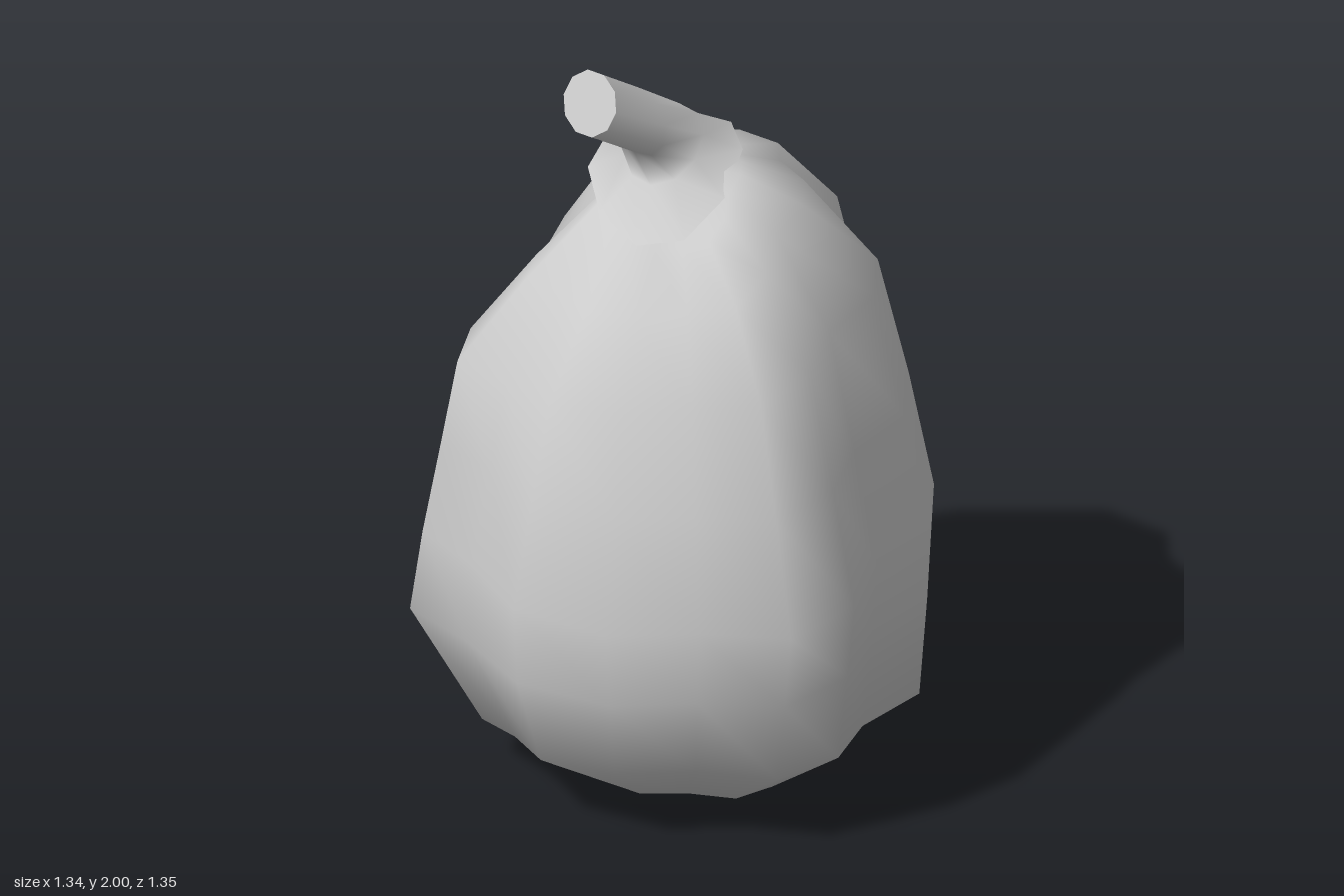
import * as THREE from 'three';
import { mergeVertices } from 'three/addons/utils/BufferGeometryUtils.js';

// Skin a stack of closed rings (bottom to top, each an array of [x, y, z])
function loft(rings) {
  const n = rings[0].length, index = [];
  for (let r = 0; r < rings.length - 1; r++) {
    for (let c = 0; c < n; c++) {
      const d = (c + 1) % n;
      const a = r * n + c, b = r * n + d, ua = a + n, ub = b + n;
      index.push(a, ua, ub, a, ub, b);
    }
  }
  let g = new THREE.BufferGeometry();
  g.setAttribute('position', new THREE.Float32BufferAttribute(rings.flat(2), 3));
  g.setIndex(index);
  g = mergeVertices(g);
  g.computeVertexNormals();
  return g;
}

// Ribbed outline seen from above: six lobes, each two ridges and a valley
const OUTLINE = [
  [0.10, -0.67], [0.27, -0.685], [0.475, -0.565],
  [0.51, -0.38], [0.67, -0.165], [0.675, 0.10],
  [0.54, 0.30], [0.49, 0.52], [0.33, 0.68],
  [0.09, 0.65], [-0.15, 0.675], [-0.40, 0.55],
  [-0.53, 0.32], [-0.68, 0.14], [-0.645, -0.09],
  [-0.47, -0.29], [-0.355, -0.52], [-0.165, -0.665],
];

// Lopsided side profiles [radius, height], bottom to top
const LEFT = [[0.38, 0.03], [0.64, 0.22], [0.66, 0.5], [0.67, 0.7], [0.6, 1.02], [0.52, 1.36], [0.33, 1.61], [0.17, 1.68]];
const RIGHT = [[0.2, 0.02], [0.49, 0.12], [0.68, 0.46], [0.645, 0.68], [0.6, 0.93], [0.56, 1.16], [0.38, 1.39], [0.2, 1.59]];
const FRONT = [[0.35, 0.04], [0.59, 0.22], [0.64, 0.44], [0.68, 0.66], [0.59, 0.95], [0.5, 1.22], [0.36, 1.42], [0.2, 1.54]];
const BACK = [[0.3, 0.04], [0.52, 0.21], [0.6, 0.42], [0.67, 0.63], [0.68, 1.13], [0.6, 1.37], [0.38, 1.6], [0.2, 1.66]];

function bodyGeometry() {
  const pole = (x, y, z) => OUTLINE.map(() => [x, y, z]);
  const rings = LEFT.map((_, k) => OUTLINE.map(([x, z]) => {
    // Blend the side profile with the front or back one by direction
    const w = (x * x) / (x * x + z * z);
    const side = (x > 0 ? LEFT : RIGHT)[k], face = (z > 0 ? FRONT : BACK)[k];
    const s = (side[0] * w + face[0] * (1 - w)) / 0.68;
    return [x * s, side[1] * w + face[1] * (1 - w), z * s];
  }));
  return loft([pole(0.08, 0, 0), ...rings, pole(0, 1.66, -0.06)]);
}

// Elliptical ring from a centre and two half axes; droop lowers front and back
function ring(c, u, v, droop = 0, sides = 10) {
  return Array.from({ length: sides }, (_, i) => {
    const t = (i / sides) * Math.PI * 2, cs = Math.cos(t), sn = Math.sin(t);
    return c.map((p, k) => p + u[k] * cs + v[k] * sn - (k === 1 ? droop * sn * sn : 0));
  });
}

export function createModel() {
  const group = new THREE.Group();
  const material = new THREE.MeshStandardMaterial({ color: 0xcccccc, side: THREE.DoubleSide });
  const add = (name, geometry) => {
    const mesh = new THREE.Mesh(geometry, material);
    mesh.name = name;
    group.add(mesh);
  };

  add('pumpkinBody', bodyGeometry());

  // Bent stem flaring into a collar draped over the crown
  const tipCentre = [-0.215, 1.92, 0.12];
  const tip = ring(tipCentre, [0.07, 0, 0.05], [-0.015, -0.08, 0.03]);
  add('stem', loft([
    ring([-0.03, 1.66, -0.09], [0.2, 0.03, 0], [0, -0.035, 0.3], 0.075),
    ring([-0.03, 1.71, -0.07], [0.1, 0.03, 0], [0, -0.05, 0.13]),
    ring([-0.1, 1.82, 0.01], [0.075, 0.01, 0.05], [0.02, -0.075, 0.055]),
    tip,
  ]));

  // Flat cut end
  add('stemCutEnd', loft([tip, tip.map(() => tipCentre)]));

  return group;
}
